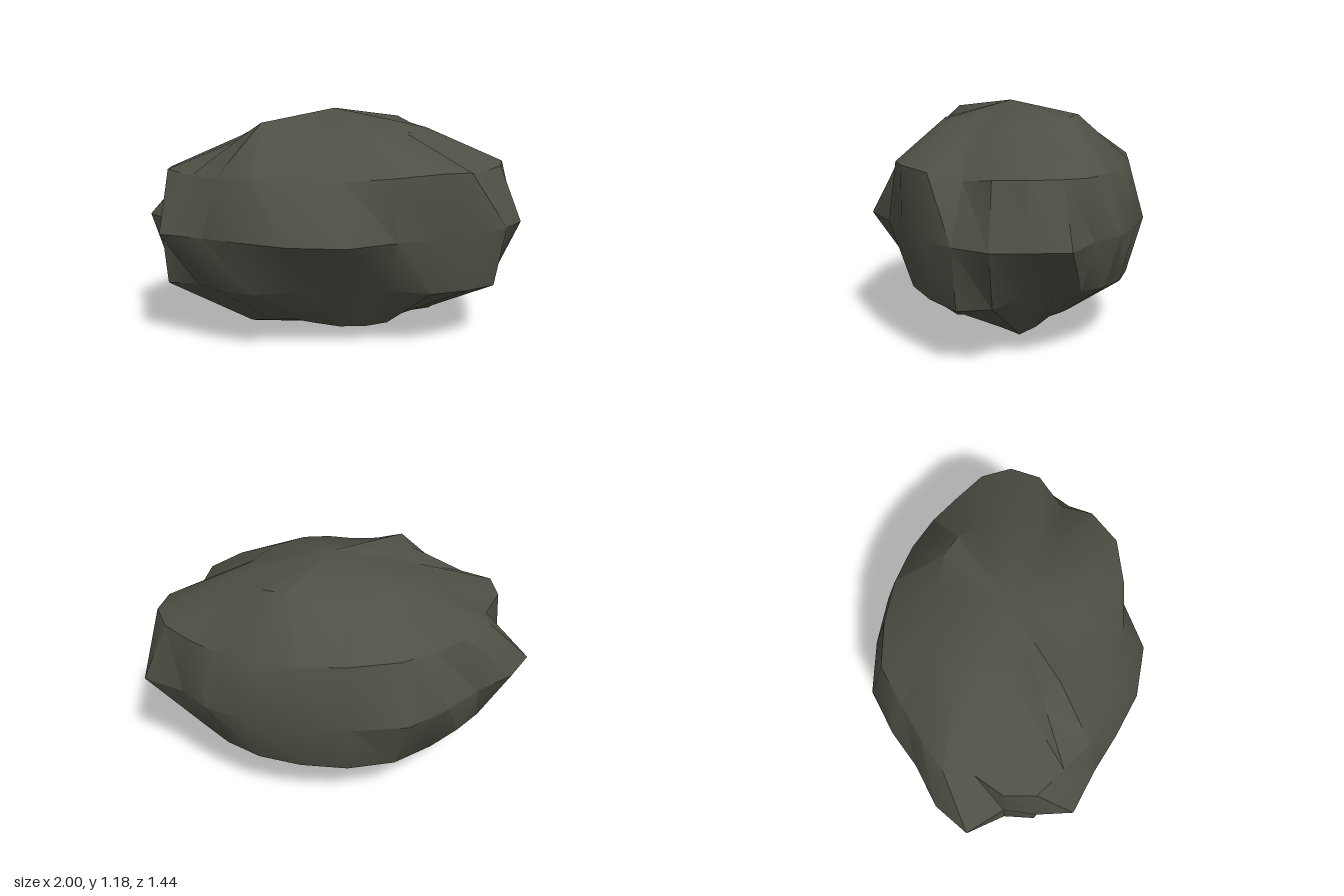
import * as THREE from 'three';
import { toCreasedNormals, mergeVertices } from 'three/addons/utils/BufferGeometryUtils.js';

const SEGMENTS = 24, RX = 1.03, RY = 0.59, RZ = 0.7;

// Bulge of each latitude ring from the centre, top to bottom, from +x round through +z
const BULGE = [
  [0.95, 0.94, 0.92, 0.94, 0.97, 0.99, 0.98, 0.96, 0.98, 1.05, 0.97, 0.88,
    0.88, 0.9, 0.93, 0.95, 0.97, 0.97, 0.96, 0.99, 1.04, 1.03, 0.97, 0.95],
  [1.02, 1, 0.91, 1.02, 1.07, 1.02, 0.97, 0.96, 0.98, 0.96, 0.95, 1,
    0.97, 0.89, 0.97, 0.95, 0.97, 1.06, 1.03, 1, 0.97, 0.95, 0.95, 1],
  [0.96, 0.98, 0.96, 0.94, 0.93, 0.94, 1.05, 1.02, 0.95, 0.93, 1, 0.91,
    0.86, 1.01, 0.98, 0.92, 0.97, 1.05, 1.01, 0.98, 0.94, 0.93, 0.89, 1],
  [0.87, 0.98, 1.04, 1.01, 0.98, 0.88, 0.84, 0.88, 0.95, 0.95, 0.93, 1.02,
    0.98, 0.97, 0.95, 0.95, 0.98, 1.03, 1.03, 1, 0.97, 0.93, 0.9, 0.87],
  [1.02, 0.97, 0.93, 0.93, 0.98, 0.99, 0.98, 0.95, 0.93, 0.96, 1, 0.96,
    0.93, 0.94, 0.95, 0.98, 1.01, 0.98, 0.95, 0.95, 0.95, 0.93, 0.92, 0.97],
];

function createRockGeometry() {
  const bands = BULGE.length + 1;
  const positions = [0, 2 * RY, 0];
  BULGE.forEach((ring, r) => {
    const polar = ((r + 1) * Math.PI) / bands;
    ring.forEach((bulge, c) => {
      const a = (c * 2 * Math.PI) / SEGMENTS;
      const s = Math.sin(polar) * bulge;
      positions.push(RX * s * Math.cos(a), RY * (1 + Math.cos(polar) * bulge), RZ * s * Math.sin(a));
    });
  });
  positions.push(0, 0, 0);

  const index = [];
  const at = (r, c) => 1 + r * SEGMENTS + (c % SEGMENTS);
  const last = positions.length / 3 - 1;
  for (let c = 0; c < SEGMENTS; c++) {
    index.push(0, at(0, c + 1), at(0, c));
    for (let r = 0; r < BULGE.length - 1; r++) {
      index.push(at(r, c), at(r, c + 1), at(r + 1, c));
      index.push(at(r, c + 1), at(r + 1, c + 1), at(r + 1, c));
    }
    index.push(at(BULGE.length - 1, c), at(BULGE.length - 1, c + 1), last);
  }

  const geometry = new THREE.BufferGeometry();
  geometry.setAttribute('position', new THREE.Float32BufferAttribute(positions, 3));
  geometry.setIndex(index);
  // Smooth faces with sharp breaks at the equator and the hard corners
  return mergeVertices(toCreasedNormals(geometry, 0.6));
}

export function createModel() {
  const stone = new THREE.MeshStandardMaterial({ color: 0x504f45 });
  stone.name = 'dark stone';

  const rock = new THREE.Mesh(createRockGeometry(), stone);
  rock.name = 'rock';
  // The peak sits slightly off the middle of the footprint
  rock.position.set(0.005, 0, -0.015);

  const model = new THREE.Group();
  model.name = 'boulder';
  model.add(rock);
  return model;
}
